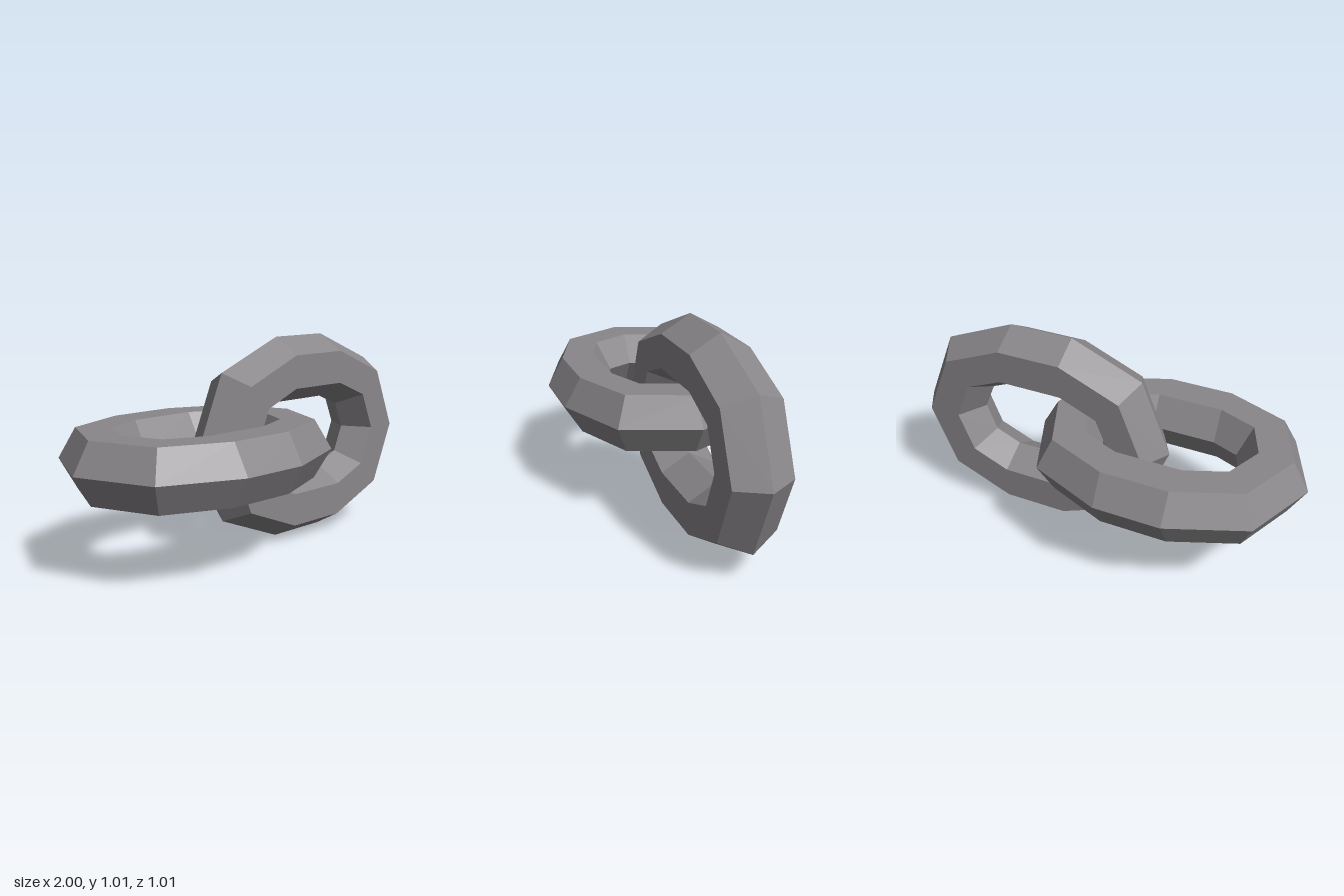
import * as THREE from 'three';

const BEND = 0.344; // radius of the rounded ends, to the bar's centre line
const BAR = 0.162; // radius of the six-sided bar
const HALF_STRAIGHT = 0.16;
const SIDES = 6;

// Six-sided bar swept round an oval: two half circles joined by straight runs
function linkGeometry() {
  const rings = [];
  for (const [start, shift] of [[-90, HALF_STRAIGHT], [90, -HALF_STRAIGHT]]) {
    for (let k = 0; k <= 4; k++) {
      rings.push({ u: THREE.MathUtils.degToRad(start + k * 45), shift });
    }
  }

  const positions = [];
  for (const { u, shift } of rings) {
    for (let j = 0; j < SIDES; j++) {
      const v = (j / SIDES) * Math.PI * 2;
      const reach = BEND + BAR * Math.cos(v);
      positions.push(shift + reach * Math.cos(u), reach * Math.sin(u), BAR * Math.sin(v));
    }
  }

  const index = [];
  for (let i = 0; i < rings.length; i++) {
    const next = (i + 1) % rings.length;
    for (let j = 0; j < SIDES; j++) {
      const k = (j + 1) % SIDES;
      const a = i * SIDES + j, b = next * SIDES + j;
      const c = next * SIDES + k, d = i * SIDES + k;
      index.push(a, b, c, a, c, d);
    }
  }

  const indexed = new THREE.BufferGeometry();
  indexed.setAttribute('position', new THREE.Float32BufferAttribute(positions, 3));
  indexed.setIndex(index);
  const geometry = indexed.toNonIndexed();
  geometry.computeVertexNormals();
  return geometry;
}

export function createModel() {
  const group = new THREE.Group();
  group.name = 'chainLinks';
  const steel = new THREE.MeshStandardMaterial({ color: 0x8a878a, flatShading: true });
  steel.name = 'grey steel';
  const geometry = linkGeometry();

  // Upright link, and a flat link passing through it
  const upright = new THREE.Mesh(geometry, steel);
  upright.name = 'uprightLink';
  upright.position.set(0.332, 0.507, 0);

  const flat = new THREE.Mesh(geometry, steel);
  flat.name = 'flatLink';
  flat.rotation.x = Math.PI / 2;
  flat.position.set(-0.332, 0.507, 0);

  group.add(upright, flat);
  return group;
}
